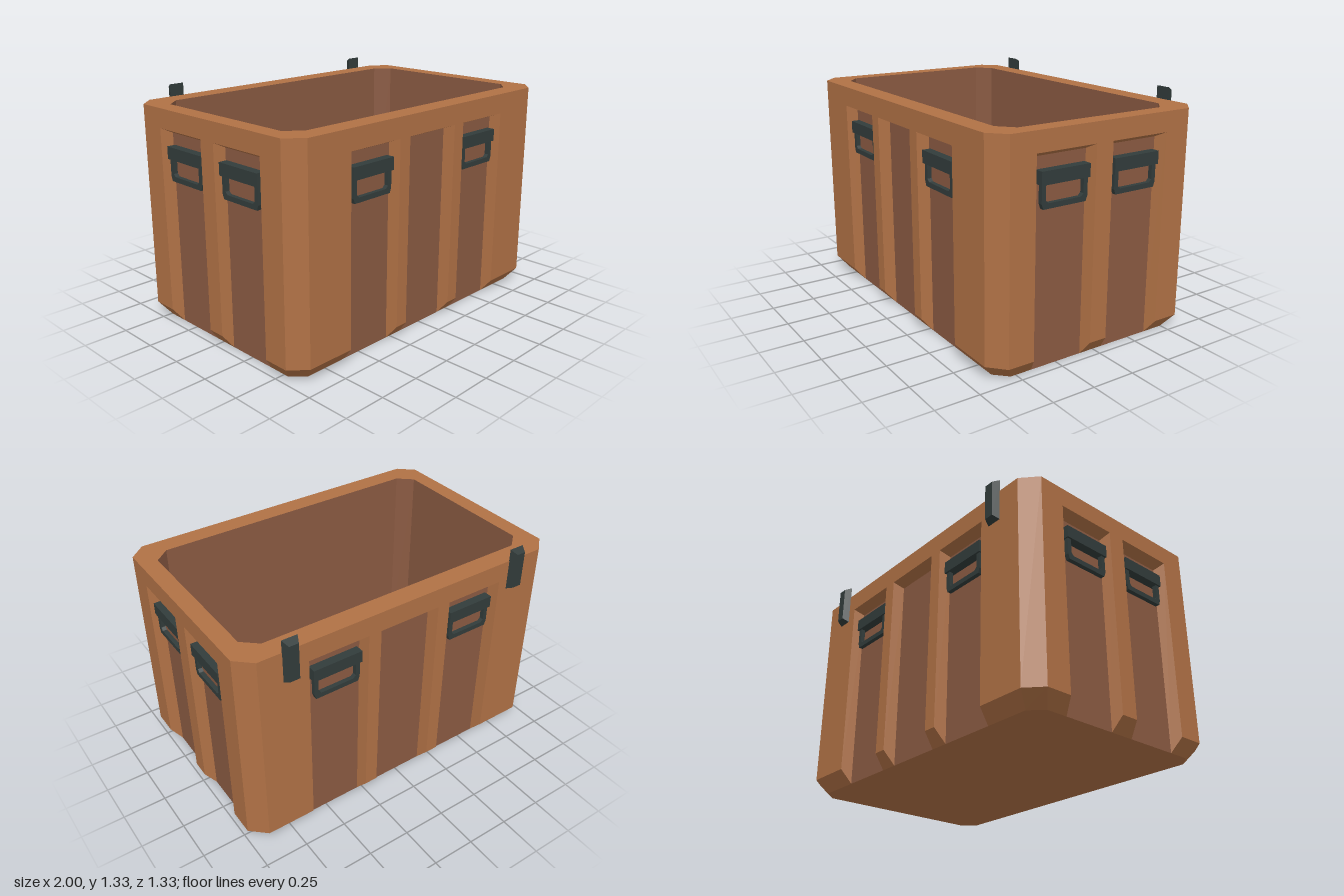
import * as THREE from 'three';

const H = 1.255, BEVEL = 0.08, FLOOR = 0.08, CZ = 0.0175;

const mat = (name, color, side = THREE.FrontSide) => {
  const m = new THREE.MeshStandardMaterial({ color, side });
  m.name = name;
  return m;
};
const ochre = mat('ochre shell', 0xb07145);
const brown = mat('brown panel', 0x8a5a42);
const slate = mat('dark slate', 0x323c3b);

function add(parent, name, geometry, material) {
  const mesh = new THREE.Mesh(geometry, material);
  mesh.name = name;
  parent.add(mesh);
  return mesh;
}

// Flat quads, each given as four corners counter-clockwise from outside
function quads(list) {
  const pos = [];
  for (const [a, b, c, d] of list) pos.push(...a, ...b, ...c, ...a, ...c, ...d);
  const g = new THREE.BufferGeometry();
  g.setAttribute('position', new THREE.Float32BufferAttribute(pos, 3));
  g.computeVertexNormals();
  return g;
}

// Octagon plan: half sizes hx, hz and flat half lengths fx, fz; edge 0 is the front
const ring = (hx, hz, fx, fz) => [
  [-fx, hz], [fx, hz], [hx, fz], [hx, -fz], [fx, -hz], [-fx, -hz], [-hx, -fz], [-hx, fz],
];
const OUTER = ring(1, 0.6475, 0.91, 0.565);
const BASE = ring(0.94, 0.5825, 0.87, 0.5125);
const INNER = ring(0.9, 0.53, 0.815, 0.455);
const at = ([x, z], y) => [x, y, z];
const plan = (pts) => new THREE.Shape(pts.map(([x, z]) => new THREE.Vector2(x, -z)));

// One wall with recessed panels; notches are [outer left, inner left, inner right, outer right]
function wall(name, { half, baseHalf, dist, depth, top, notches, handles }) {
  const g = new THREE.Group();
  g.name = name;
  const innerTop = 1.115, front = dist, back = dist - depth;
  const shell = [[[-half, top, front], [half, top, front], [half, H, front], [-half, H, front]]];
  const panels = [];
  let l = -half, lBase = -baseHalf;
  for (const [ol, il, ir, or] of [...notches, [half, baseHalf, 0, 0]]) {
    // upright and the bevel at its foot
    shell.push([[l, BEVEL, front], [ol, BEVEL, front], [ol, top, front], [l, top, front]]);
    shell.push([[lBase, 0, back], [il, 0, back], [ol, BEVEL, front], [l, BEVEL, front]]);
    l = or; lBase = ir;
  }
  for (const [ol, il, ir, or] of notches) {
    // slanted sides and top of the recess
    shell.push([[ol, BEVEL, front], [il, 0, back], [il, innerTop, back], [ol, top, front]]);
    shell.push([[ir, 0, back], [or, BEVEL, front], [or, top, front], [ir, innerTop, back]]);
    shell.push([[il, innerTop, back], [ir, innerTop, back], [or, top, front], [ol, top, front]]);
    panels.push([[il, 0, back], [ir, 0, back], [ir, innerTop, back], [il, innerTop, back]]);
  }
  add(g, 'wallFrame', quads(shell), ochre);
  add(g, 'recessedPanels', quads(panels), brown);
  for (const u of handles) {
    const h = handle();
    h.position.set(u, 0, back);
    g.add(h);
  }
  return g;
}

// Mounting bar with a hanging angular grip
function handle() {
  const g = new THREE.Group();
  g.name = 'handle';
  add(g, 'handleBar', new THREE.BoxGeometry(0.295, 0.07, 0.05), slate).position.set(0, 1.015, 0.025);
  const v = (list) => list.map(([x, y]) => new THREE.Vector2(x, y));
  const grip = new THREE.Shape(v([
    [-0.14, 0.99], [-0.14, 0.885], [-0.13, 0.857], [0.13, 0.857], [0.14, 0.885], [0.14, 0.99],
    [0.115, 0.99], [0.115, 0.9], [0.1, 0.885], [-0.1, 0.885], [-0.115, 0.9], [-0.115, 0.99],
  ]));
  const geo = new THREE.ExtrudeGeometry(grip, { depth: 0.025, bevelEnabled: false });
  add(g, 'handleGrip', geo, slate).position.z = 0.015;
  return g;
}

// Back hinge block, narrowing away from the wall
function hinge() {
  const geo = new THREE.BoxGeometry(0.09, 0.25, 0.04);
  const p = geo.attributes.position;
  for (let i = 0; i < p.count; i++) {
    if (p.getZ(i) < 0) p.setXY(i, p.getX(i) * 0.6, p.getY(i) * 0.84);
  }
  geo.computeVertexNormals();
  return geo;
}

export function createModel() {
  const model = new THREE.Group();
  model.name = 'crate';
  const body = new THREE.Group();
  body.name = 'body';
  body.position.z = CZ;
  model.add(body);

  // Long walls with three panels, short walls with two
  const long = {
    half: 0.91, baseHalf: 0.87, dist: 0.6475, depth: 0.065, top: 1.14, handles: [-0.443, 0.443],
    notches: [[-0.625, -0.61, -0.28, -0.265], [-0.188, -0.172, 0.172, 0.188], [0.265, 0.28, 0.61, 0.625]],
  };
  const short = {
    half: 0.565, baseHalf: 0.5125, dist: 1, depth: 0.06, top: 1.145, handles: [-0.2275, 0.2275],
    notches: [[-0.415, -0.388, -0.0725, -0.0525], [0.0525, 0.0725, 0.388, 0.415]],
  };
  ['frontWall', 'leftWall', 'backWall', 'rightWall'].forEach((name, i) => {
    const w = wall(name, i % 2 ? short : long);
    w.rotation.y = i * Math.PI / 2;
    body.add(w);
  });

  // Cut corners with their foot bevels
  const corners = [];
  for (let i = 1; i < 8; i += 2) {
    const j = (i + 1) % 8;
    corners.push([at(OUTER[i], BEVEL), at(OUTER[j], BEVEL), at(OUTER[j], H), at(OUTER[i], H)]);
    corners.push([at(BASE[i], 0), at(BASE[j], 0), at(OUTER[j], BEVEL), at(OUTER[i], BEVEL)]);
  }
  add(body, 'corners', quads(corners), ochre);

  // Rim, underside, inner walls and floor
  const rimShape = plan(OUTER);
  rimShape.holes.push(plan(INNER));
  const rim = add(body, 'rim', new THREE.ShapeGeometry(rimShape), ochre);
  rim.rotation.x = -Math.PI / 2;
  rim.position.y = H;
  const under = add(body, 'underside', new THREE.ShapeGeometry(plan(BASE)), ochre);
  under.rotation.x = Math.PI / 2;
  const inside = INNER.map((a, i) => {
    const b = INNER[(i + 1) % 8];
    return [at(b, FLOOR), at(a, FLOOR), at(a, H), at(b, H)];
  });
  add(body, 'innerWalls', quads(inside), brown);
  const floor = add(body, 'innerFloor', new THREE.ShapeGeometry(plan(INNER)), slate);
  floor.rotation.x = -Math.PI / 2;
  floor.position.y = FLOOR;

  // Hinge blocks on the back
  for (const s of [-1, 1]) {
    add(model, 'hinge', hinge(), slate).position.set(s * 0.728, 1.2, -0.648);
  }
  return model;
}
